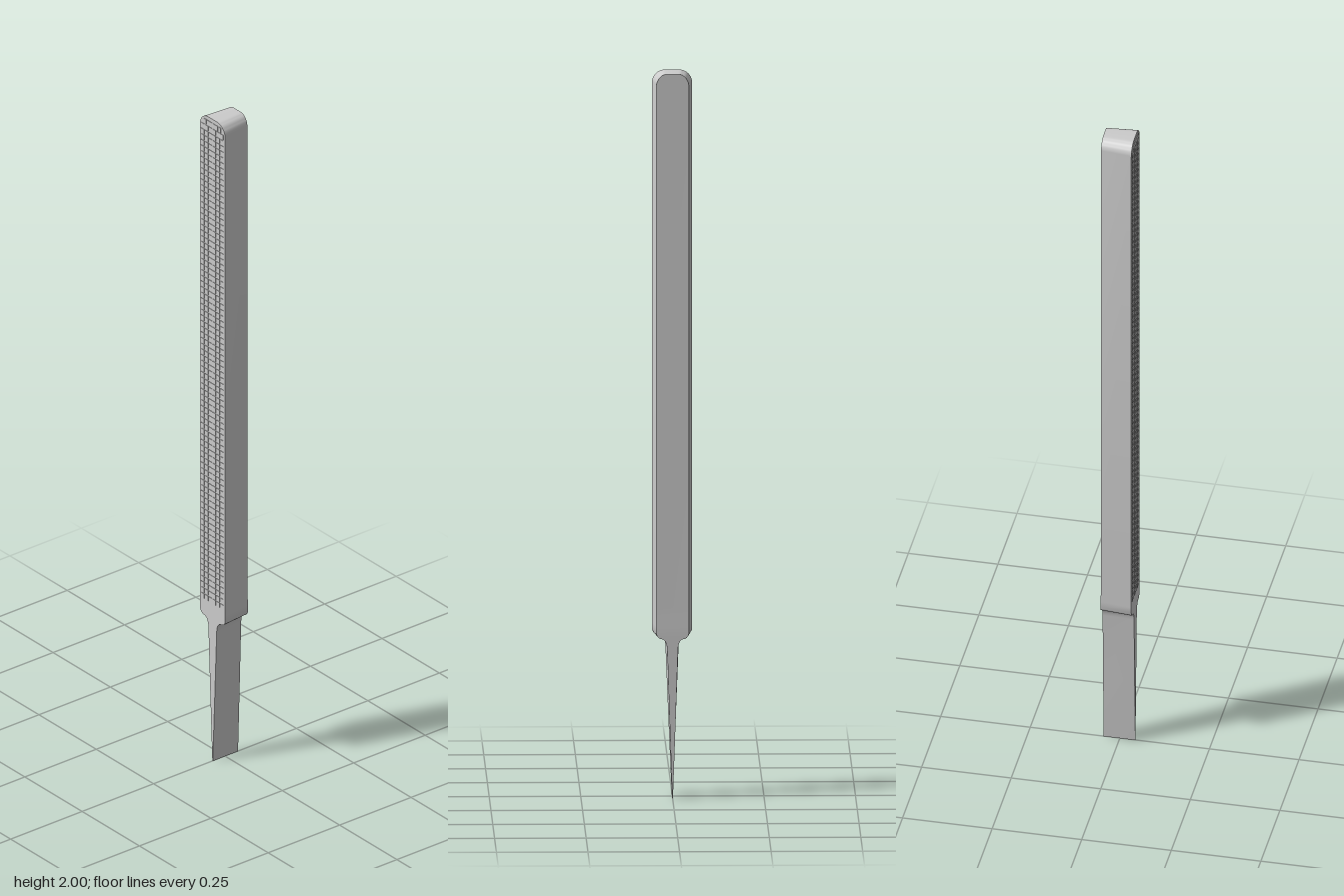
import * as THREE from 'three';
import { mergeGeometries, toCreasedNormals } from 'three/addons/utils/BufferGeometryUtils.js';

const FRONT = 0.0435, TOP_R = 0.036, HALF_W = 0.055;

// Half-width of the rounded upper end at height y
function bladeHalfWidth(y) {
  const d = Math.max(0, y - (2 - TOP_R));
  return HALF_W - TOP_R + Math.sqrt(Math.max(0, TOP_R * TOP_R - d * d));
}

// Heights and half-widths from the tang tip to the rounded end
function profileRows() {
  const rows = [[0, 0.001], [0.2, 0.0095], [0.41, 0.018]];
  // concave fillet from tang to shoulder
  for (let i = 1; i <= 5; i++) {
    const a = (i / 5) * Math.PI / 2;
    rows.push([0.41 + 0.03 * Math.sin(a), 0.018 + 0.018 * (1 - Math.cos(a))]);
  }
  // convex shoulder corner
  for (let i = 1; i <= 5; i++) {
    const a = (i / 5) * Math.PI / 2;
    rows.push([0.44 + 0.018 * (1 - Math.cos(a)), 0.036 + 0.019 * Math.sin(a)]);
  }
  rows.push([0.475, HALF_W], [0.5, HALF_W], [0.525, HALF_W]);
  for (let i = 0; i <= 10; i++) {
    const y = 2 - TOP_R + TOP_R * Math.sin((i / 10) * Math.PI / 2);
    rows.push([y, bladeHalfWidth(y)]);
  }
  return rows;
}

// Loft of four-cornered sections, narrower towards the back
function bodyGeometry() {
  const rows = profileRows(), pos = [], index = [];
  for (const [y, w] of rows) {
    const t = THREE.MathUtils.smoothstep(y, 0.45, 0.53);
    const back = -0.045 + 0.002 * t;
    const b = w * 0.81;
    pos.push(-w, y, FRONT, w, y, FRONT, b, y, back, -b, y, back);
  }
  for (let r = 0; r < rows.length - 1; r++) {
    for (let k = 0; k < 4; k++) {
      const a = r * 4 + k, b = r * 4 + (k + 1) % 4;
      index.push(a, b, b + 4, a, b + 4, a + 4);
    }
  }
  const n = (rows.length - 1) * 4;
  index.push(0, 2, 1, 0, 3, 2, n, n + 1, n + 2, n, n + 2, n + 3);
  const g = new THREE.BufferGeometry();
  g.setAttribute('position', new THREE.Float32BufferAttribute(pos, 3));
  g.setIndex(index);
  return toCreasedNormals(g, 0.6);
}

// Rows of shallow raised teeth separated by fine grooves
function teethGeometry() {
  const parts = [], rows = 85, columns = 6, y0 = 0.49, y1 = 1.99, gap = 0.003;
  const pitch = (y1 - y0) / rows;
  for (let r = 0; r < rows; r++) {
    const y = y0 + (r + 0.5) * pitch;
    const half = bladeHalfWidth(y + pitch / 2) - 0.005;
    const w = (2 * half) / columns;
    for (let c = 0; c < columns; c++) {
      const tooth = new THREE.BoxGeometry(w - gap, pitch - gap, 0.002);
      tooth.translate(-half + (c + 0.5) * w, y, FRONT + 0.0005);
      parts.push(tooth);
    }
  }
  return mergeGeometries(parts);
}

export function createModel() {
  const group = new THREE.Group();
  group.name = 'handFile';
  const material = new THREE.MeshStandardMaterial({ color: 0xcccccc });
  const add = (name, geometry) => {
    const mesh = new THREE.Mesh(geometry, material);
    mesh.name = name;
    group.add(mesh);
  };
  add('bladeAndTang', bodyGeometry());
  add('cuttingTeeth', teethGeometry());
  return group;
}
